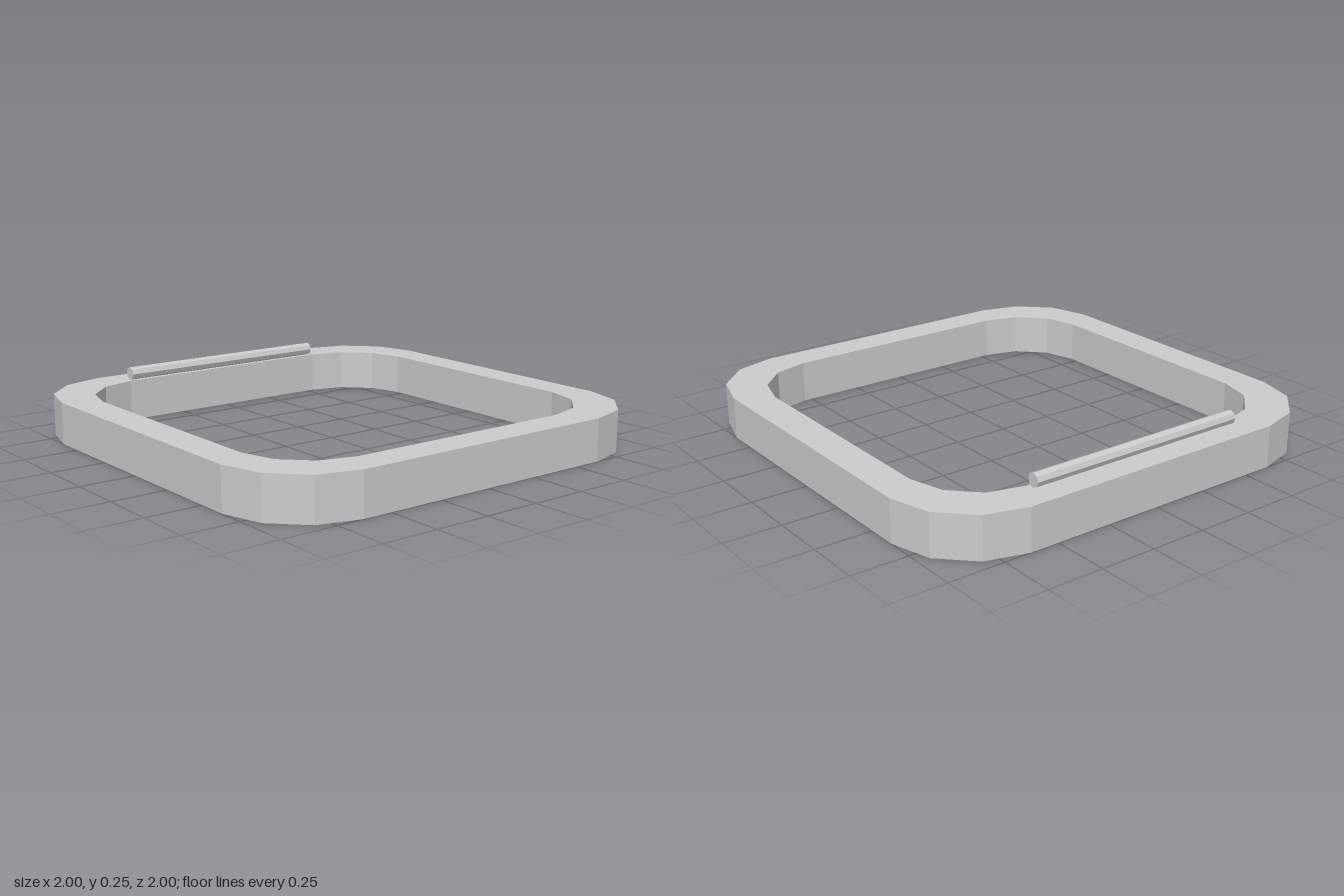
import * as THREE from 'three';

const material = new THREE.MeshStandardMaterial({ color: 0xcccccc, flatShading: true });

// Square outline with faceted corners; a, b, c, d step along one corner
function corneredSquare(Type, a, b, c, d) {
  const corner = [[d, a], [c, b], [b, c], [a, d]];
  const points = [];
  for (let i = 0; i < 4; i++) {
    for (const [x, y] of corner) {
      points.push(new THREE.Vector2(x, y).rotateAround(new THREE.Vector2(), i * Math.PI / 2));
    }
  }
  return new Type(points);
}

export function createModel() {
  const model = new THREE.Group();
  model.name = 'squareFrame';

  // Square ring with chamfered corners, lying flat
  const outline = corneredSquare(THREE.Shape, 0.63, 0.812, 0.948, 1);
  outline.holes.push(corneredSquare(THREE.Path, 0.535, 0.69, 0.805, 0.848));
  const frameGeometry = new THREE.ExtrudeGeometry(outline, { depth: 0.187, bevelEnabled: false });
  frameGeometry.rotateX(-Math.PI / 2);
  const frame = new THREE.Mesh(frameGeometry, material);
  frame.name = 'frame';
  model.add(frame);

  // Eight-sided rod resting on the right side of the frame
  const rodGeometry = new THREE.CylinderGeometry(0.03, 0.03, 1.045, 8);
  rodGeometry.rotateX(Math.PI / 2);
  const rod = new THREE.Mesh(rodGeometry, material);
  rod.name = 'rod';
  rod.position.set(-0.875, 0.216, 0);
  model.add(rod);

  return model;
}
